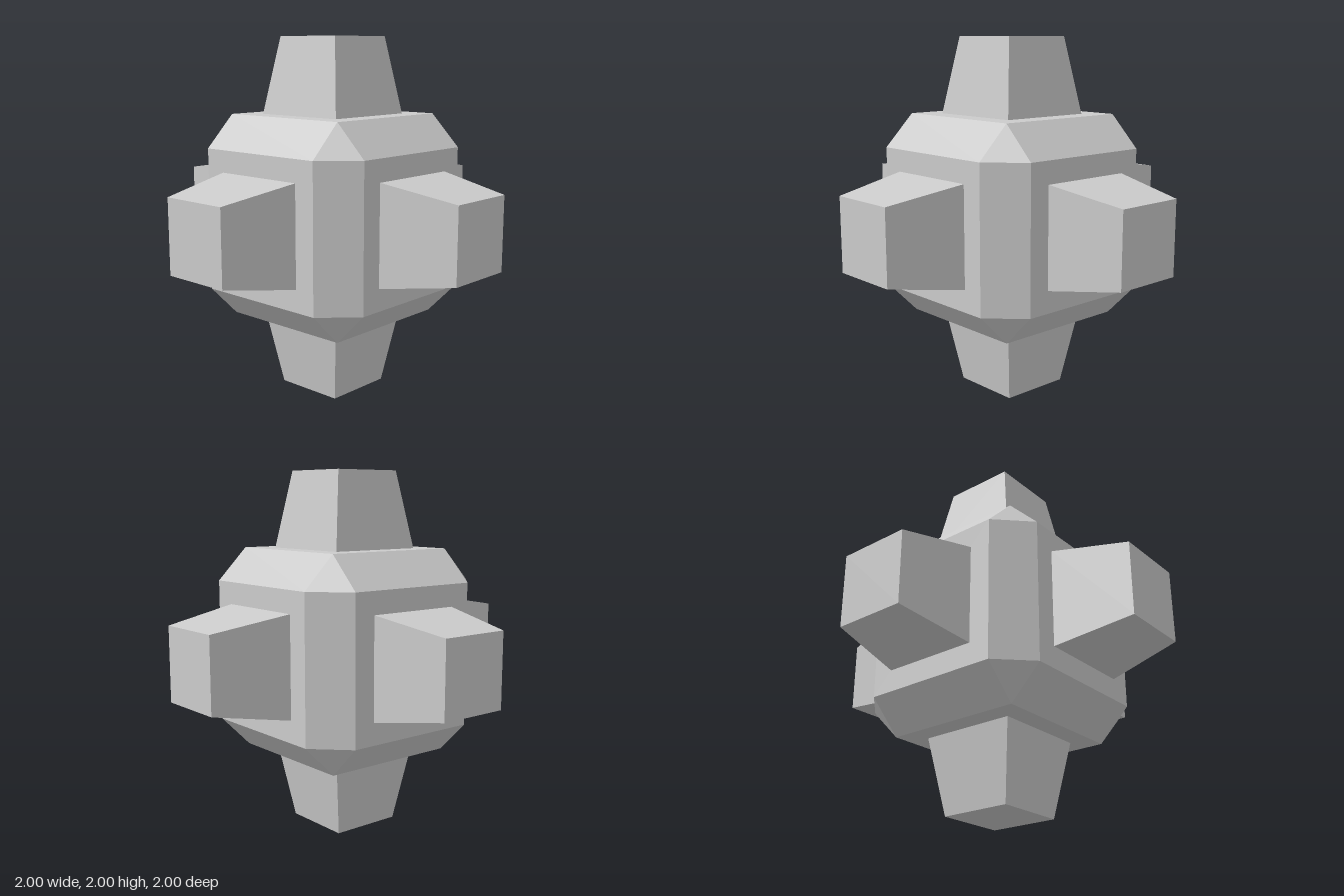
import * as THREE from 'three';
import { ConvexGeometry } from 'three/addons/geometries/ConvexGeometry.js';

const CORE = 0.575;      // half width of the core
const FACE = 0.397;      // half width of each flat core face
const POST_BASE = 0.275; // half width of a post at the core
const POST_TIP = 0.203;  // half width of a post at its end

export function createModel() {
  const model = new THREE.Group();
  model.name = 'studdedCube';
  const material = new THREE.MeshStandardMaterial({ color: 0xcccccc, flatShading: true });

  // Chamfered cube: the hull of six square faces
  const points = [];
  for (const a of [-1, 1]) for (const b of [-1, 1]) for (const c of [-1, 1]) {
    points.push(
      new THREE.Vector3(a * CORE, b * FACE, c * FACE),
      new THREE.Vector3(a * FACE, b * CORE, c * FACE),
      new THREE.Vector3(a * FACE, b * FACE, c * CORE)
    );
  }
  const core = new THREE.Mesh(new ConvexGeometry(points), material);
  core.name = 'chamferedCore';
  core.position.y = 1;
  model.add(core);

  // Tapered square post, base resting on the core
  const height = 1 - CORE;
  const postGeometry = new THREE.CylinderGeometry(
    POST_TIP * Math.SQRT2, POST_BASE * Math.SQRT2, height, 4
  );
  postGeometry.rotateY(Math.PI / 4);
  postGeometry.translate(0, CORE + height / 2, 0);

  // One post on each side: name, x turn, z turn
  const q = Math.PI / 2;
  const posts = [
    ['topPost', 0, 0],
    ['bottomPost', Math.PI, 0],
    ['frontPost', q, 0],
    ['backPost', -q, 0],
    ['leftPost', 0, -q],
    ['rightPost', 0, q],
  ];
  for (const [name, rx, rz] of posts) {
    const post = new THREE.Mesh(postGeometry, material);
    post.name = name;
    post.rotation.set(rx, 0, rz);
    post.position.y = 1;
    model.add(post);
  }
  return model;
}
